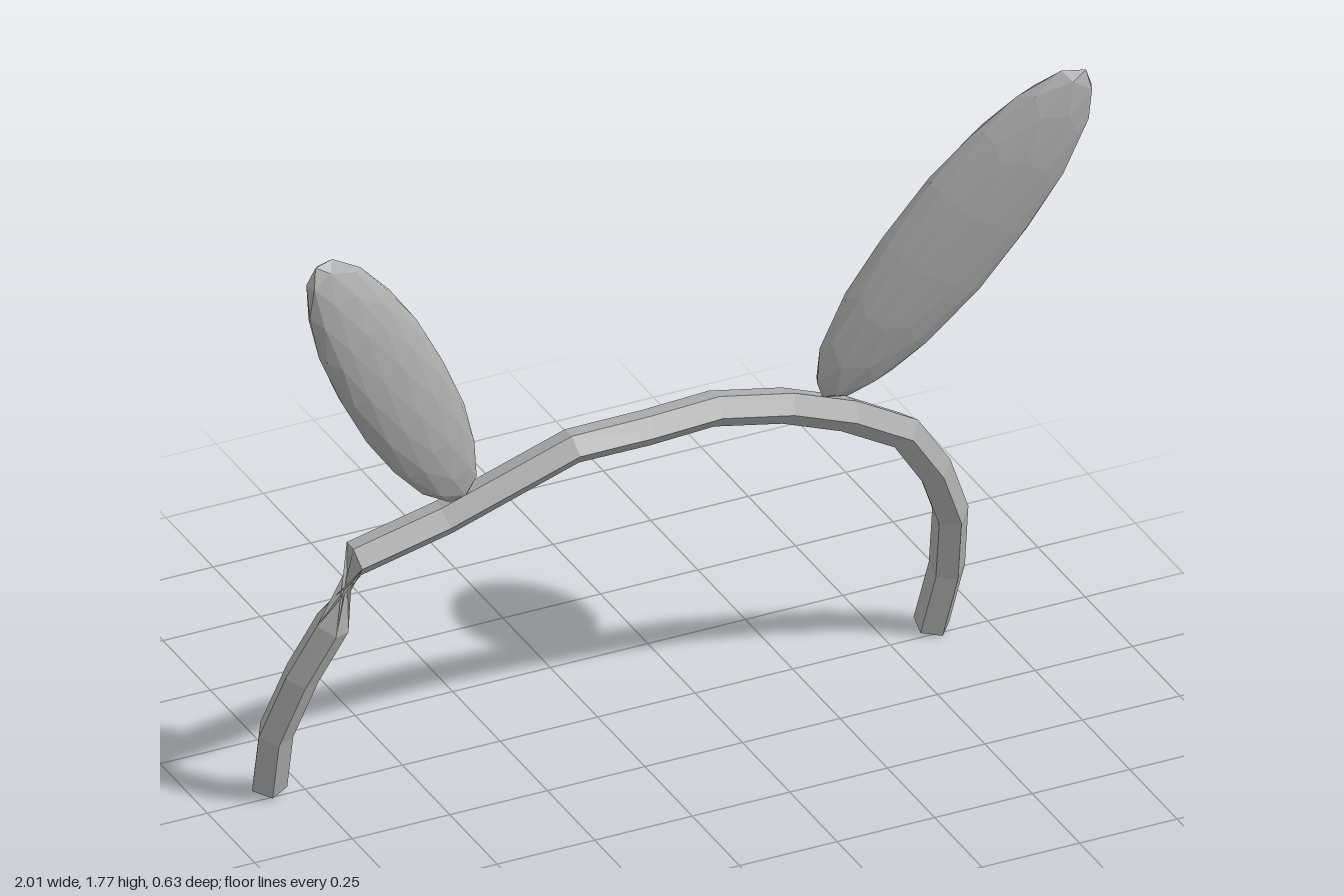
import * as THREE from 'three';

const grey = new THREE.MeshStandardMaterial({ color: 0xb2b2b2, flatShading: true });
grey.name = 'plain grey';

// Headband: five-sided tube swept along an arch that leans back towards its ends
function bandGeometry() {
  const arch = [
    [-0.833, 0.02], [-0.843, 0.19], [-0.803, 0.36], [-0.747, 0.507], [-0.718, 0.712],
    [-0.5, 0.777], [-0.19, 0.912], [0, 0.912], [0.17, 0.922], [0.36, 0.873],
    [0.53, 0.795], [0.69, 0.69], [0.79, 0.54], [0.86, 0.375], [0.88, 0.19], [0.868, 0.012],
  ];
  const path = arch.map(([x, y]) => new THREE.Vector3(x, y, 0.012 + (y - 0.91) * 0.32));
  const normal = new THREE.Vector3(0, -0.32, 1).normalize();
  const sides = 5, radius = 0.044, kink = 4, last = path.length - 1;
  const positions = [], index = [];

  path.forEach((p, i) => {
    // the two rings at the kink each keep the direction of their own half
    const from = path[i === kink ? i : Math.max(i - 1, 0)];
    const to = path[i === kink - 1 ? i : Math.min(i + 1, last)];
    const outward = normal.clone().cross(to.clone().sub(from).normalize());
    const twist = 0.2 + (i < kink ? Math.PI * 0.8 : 0);
    for (let k = 0; k < sides; k++) {
      const a = twist + (k / sides) * Math.PI * 2;
      const v = p.clone()
        .addScaledVector(normal, radius * Math.cos(a))
        .addScaledVector(outward, radius * Math.sin(a));
      positions.push(v.x, v.y, v.z);
    }
  });

  for (let i = 0; i < last; i++) {
    for (let k = 0; k < sides; k++) {
      const a = i * sides + k, b = i * sides + (k + 1) % sides;
      index.push(a, a + sides, b, b, a + sides, b + sides);
    }
  }
  // end caps
  const e = last * sides;
  for (let k = 1; k < sides - 1; k++) {
    index.push(0, k, k + 1, e, e + k + 1, e + k);
  }

  const geo = new THREE.BufferGeometry();
  geo.setAttribute('position', new THREE.Float32BufferAttribute(positions, 3));
  geo.setIndex(index);
  const flat = geo.toNonIndexed();
  flat.computeVertexNormals();
  return flat;
}

// Ear: faceted ball stretched between its base and its tip, flattened front to back
function makeEar(name, base, tip, side) {
  const axis = tip.clone().sub(base);
  const length = axis.length();
  axis.normalize();
  const wide = new THREE.Vector3(0.77 * side, -0.58, 0.26);
  wide.addScaledVector(axis, -wide.dot(axis)).normalize();
  const deep = wide.clone().cross(axis);

  const geo = new THREE.IcosahedronGeometry(1, 2);
  geo.rotateZ(Math.atan(2 / (1 + Math.sqrt(5)))); // a corner at each end
  geo.scale(0.137, length / 2, 0.063);
  geo.applyMatrix4(new THREE.Matrix4().makeBasis(wide, axis, deep));
  geo.computeVertexNormals();

  const ear = new THREE.Mesh(geo, grey);
  ear.name = name;
  ear.position.copy(base).add(tip).multiplyScalar(0.5);
  return ear;
}

export function createModel() {
  const model = new THREE.Group();
  model.name = 'headband with ears';

  const band = new THREE.Mesh(bandGeometry(), grey);
  band.name = 'band';
  model.add(band);

  model.add(makeEar('leftEar',
    new THREE.Vector3(0.455, 0.87, 0), new THREE.Vector3(0.985, 1.77, 0.3), 1));
  model.add(makeEar('rightEar',
    new THREE.Vector3(-0.45, 0.84, -0.01), new THREE.Vector3(-0.985, 1.74, 0.29), -1));

  return model;
}
